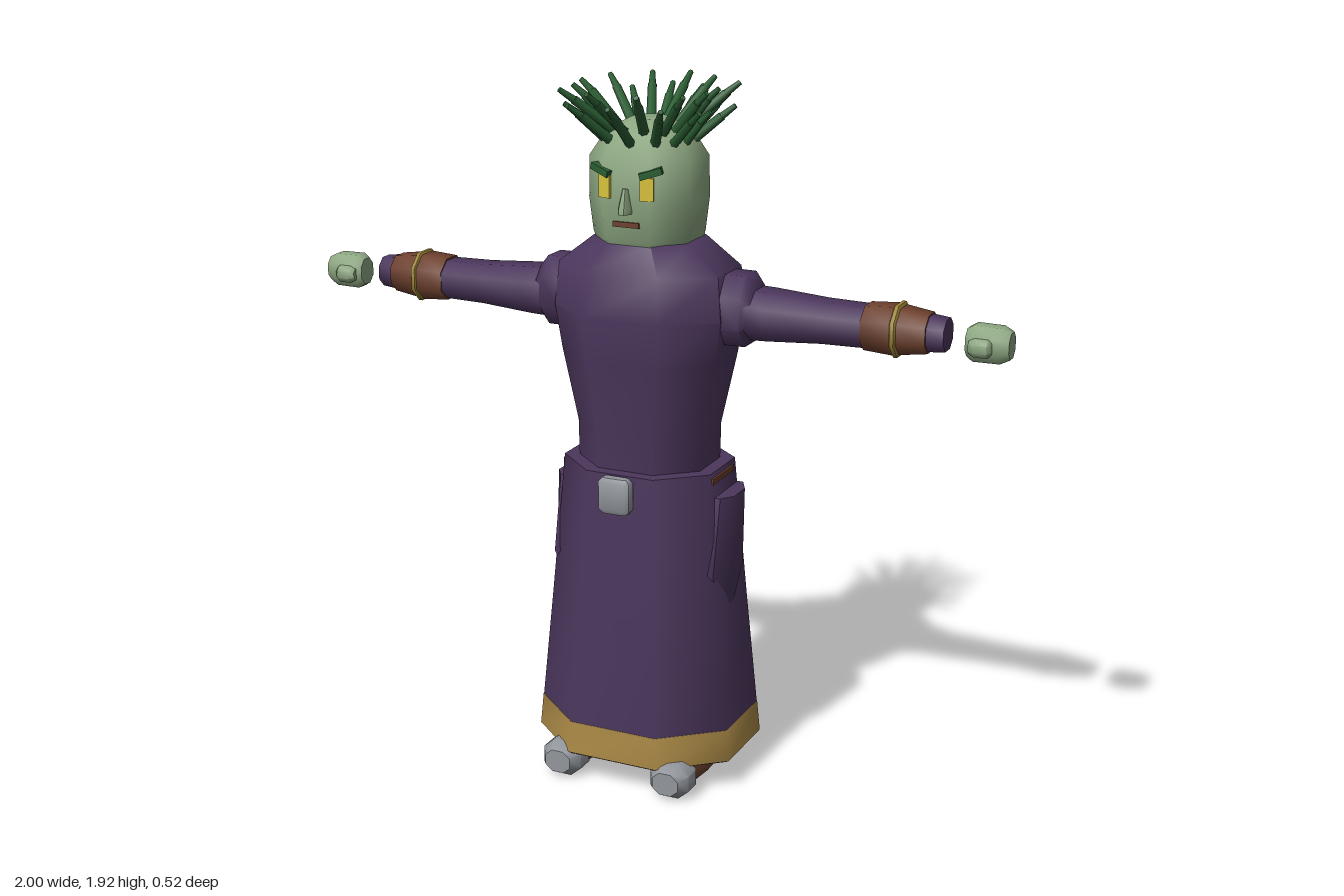
import * as THREE from 'three';
import { toCreasedNormals } from 'three/addons/utils/BufferGeometryUtils.js';

const mat = (name, color) => Object.assign(new THREE.MeshStandardMaterial({ color }), { name });

// Chamfered eight-sided loft; each ring is [y, halfWidth, zFront, zBack]
function loft(rings, f = 0.45, crease = 0.9) {
  const pos = [], idx = [];
  for (const [y, w, a, b] of rings) {
    const ring = [[f * w, a], [w, f * a], [w, f * b], [f * w, b], [-f * w, b], [-w, f * b], [-w, f * a], [-f * w, a]];
    for (const [x, z] of ring) pos.push(x, y, z);
  }
  for (let i = 0; i < rings.length - 1; i++) {
    for (let j = 0; j < 8; j++) {
      const a = i * 8 + j, b = i * 8 + (j + 1) % 8;
      idx.push(a, b, b + 8, a, b + 8, a + 8);
    }
  }
  const top = (rings.length - 1) * 8;
  for (let j = 1; j < 7; j++) idx.push(0, j + 1, j, top, top + j, top + j + 1);
  const g = new THREE.BufferGeometry();
  g.setAttribute('position', new THREE.Float32BufferAttribute(pos, 3));
  g.setIndex(idx);
  return toCreasedNormals(g.toNonIndexed(), crease);
}

// Round limb section; each entry is [distance, radius]
const limb = (pts, s) => loft(pts.map(([d, r, rz = r]) => [d, r, rz, -rz])).rotateZ(-s * Math.PI / 2);

export function createModel() {
  const model = new THREE.Group();
  model.name = 'robedFigure';
  const purple = mat('robePurple', 0x4b365c), skin = mat('skinGreen', 0x8ea882);
  const gold = mat('hemGold', 0xa98845), brown = mat('leatherBrown', 0x6d402d);
  const grey = mat('metalGrey', 0x92969c), hair = mat('hairGreen', 0x2b5e33);
  const yellow = mat('eyeYellow', 0xd9c43c), brass = mat('brass', 0x9c8436);

  const add = (name, geo, material, x = 0, y = 0, z = 0, parent = model) => {
    const m = new THREE.Mesh(geo, material);
    m.name = name;
    m.position.set(x, y, z);
    parent.add(m);
    return m;
  };

  // Robe
  add('hem', loft([[0.085, 0.293, 0.25, -0.245], [0.175, 0.285, 0.242, -0.237]]), gold);
  add('hemUnderside', loft([[0.08, 0.285, 0.243, -0.238], [0.1, 0.28, 0.24, -0.235]]), purple);
  add('skirt', loft([[0.175, 0.284, 0.241, -0.236], [0.5, 0.253, 0.22, -0.212], [0.9, 0.218, 0.192, -0.18]]), purple);
  add('torso', loft([
    [0.86, 0.18, 0.155, -0.145], [1.0, 0.182, 0.16, -0.15], [1.2, 0.224, 0.18, -0.172],
    [1.32, 0.243, 0.19, -0.18], [1.44, 0.232, 0.175, -0.17], [1.515, 0.138, 0.128, -0.14],
  ]), purple);

  // Buckle
  add('buckle', loft([[0.8, 0.035, 0.012, -0.012], [0.812, 0.045, 0.018, -0.018],
    [0.888, 0.045, 0.018, -0.018], [0.9, 0.035, 0.012, -0.012]], 0.7), grey, 0, 0, 0.215);

  // Head and face
  add('head', loft([
    [1.49, 0.125, 0.12, -0.115], [1.53, 0.135, 0.138, -0.125], [1.62, 0.145, 0.147, -0.132],
    [1.73, 0.143, 0.147, -0.132], [1.8, 0.1, 0.108, -0.1], [1.83, 0.045, 0.05, -0.045],
  ], 0.47, 1.1), skin);
  add('nose', loft([[1.6, 0.017, 0.03, -0.01], [1.612, 0.017, 0.03, -0.01], [1.665, 0.007, 0.012, -0.01]]), skin, 0, 0, 0.145);
  add('mouth', new THREE.BoxGeometry(0.075, 0.014, 0.009), brown, 0, 1.57, 0.144);

  for (const s of [1, -1]) {
    const side = s > 0 ? 'left' : 'right';
    add(side + 'Eye', new THREE.BoxGeometry(0.036, 0.06, 0.009), yellow, s * 0.06, 1.667, 0.147).rotation.y = s * 0.25;
    add(side + 'Brow', new THREE.BoxGeometry(0.06, 0.018, 0.025), hair, s * 0.07, 1.709, 0.143).rotation.set(0, s * 0.3, s * 0.3);

    // Arm
    const arm = new THREE.Group();
    arm.name = side + 'Arm';
    arm.position.set(0, 1.335, -0.004);
    model.add(arm);
    add('shoulder', limb([[0.16, 0.09, 0.085], [0.235, 0.095, 0.085], [0.29, 0.095, 0.08], [0.315, 0.065, 0.065]], s), purple, 0, 0.008, 0, arm);
    add('sleeve', limb([[0.26, 0.068, 0.075], [0.35, 0.065, 0.073], [0.5, 0.055, 0.064], [0.62, 0.053, 0.06], [0.78, 0.046], [0.83, 0.041]], s), purple, 0, 0, 0, arm);
    add('bracer', limb([[0.615, 0.058, 0.062], [0.69, 0.063, 0.064], [0.785, 0.05, 0.052]], s), brown, 0, 0, 0, arm);
    add('bracelet', limb([[0.693, 0.062], [0.697, 0.068], [0.707, 0.068], [0.711, 0.062]], s), brass, 0, 0, 0, arm);
    add('hand', limb([[0.887, 0.036, 0.031], [0.905, 0.047, 0.041], [0.975, 0.046, 0.041], [1.0, 0.034, 0.03]], s), skin, 0, -0.006, 0.013, arm);
    add('thumb', limb([[0.9, 0.016], [0.915, 0.024], [0.95, 0.024], [0.96, 0.014]], s), skin, 0, -0.01, 0.048, arm);

    // Hip drape and exposed belt
    add(side + 'HipDrape', loft([[0.5, 0.03, 0.045, -0.005], [0.62, 0.045, 0.112, -0.075], [0.83, 0.046, 0.07, -0.088]]), purple, s * 0.22);
    add(side + 'Belt', new THREE.BoxGeometry(0.02, 0.016, 0.14), brown, s * 0.215, 0.878, 0.01);

    // Shoe with metal toe cap
    add(side + 'Shoe', loft([
      [-0.09, 0.03, 0.025, -0.03], [-0.06, 0.05, 0.045, -0.045],
      [0.08, 0.055, 0.045, -0.045], [0.19, 0.045, 0.04, -0.043],
    ]).rotateX(Math.PI / 2), brown, s * 0.16, 0.046);
    add(side + 'ToeCap', loft([
      [0.155, 0.045, 0.04, -0.04], [0.175, 0.058, 0.05, -0.05],
      [0.225, 0.058, 0.05, -0.05], [0.256, 0.038, 0.032, -0.032],
    ]).rotateX(Math.PI / 2), grey, s * 0.165, 0.051);
  }

  // Hair: ring of bent spikes, steeper and flatter ones alternating
  const locks = new THREE.Group();
  locks.name = 'hair';
  model.add(locks);
  const up = new THREE.Vector3(0, 1, 0);
  const rod = (a, b, r0, r1) => {
    const d = b.clone().sub(a);
    const m = add('spike', new THREE.CylinderGeometry(r1, r0, d.length(), 6), hair, 0, 0, 0, locks);
    m.position.copy(a).lerp(b, 0.5);
    m.quaternion.setFromUnitVectors(up, d.normalize());
  };
  const n = 26;
  for (let i = 0; i < n; i++) {
    const t = (i + 0.3 * Math.sin(i * 7)) / n * Math.PI * 2;
    const long = Math.abs(Math.cos(t)), steep = i % 2;
    const at = (r, y) => new THREE.Vector3(Math.sin(t) * r, y, Math.cos(t) * r);
    const reach = 0.195 + 0.055 * long + 0.015 * Math.sin(i * 5);
    const tipY = steep ? 1.905 : 1.845 + 0.03 * long;
    const root = at(steep ? 0.085 : 0.105, steep ? 1.79 : 1.765);
    const bend = at(reach * 0.84, tipY - 0.02), tip = at(reach, tipY + 0.008);
    rod(root, bend, 0.014, 0.012);
    rod(bend, tip, 0.01, 0.007);
  }
  return model;
}
